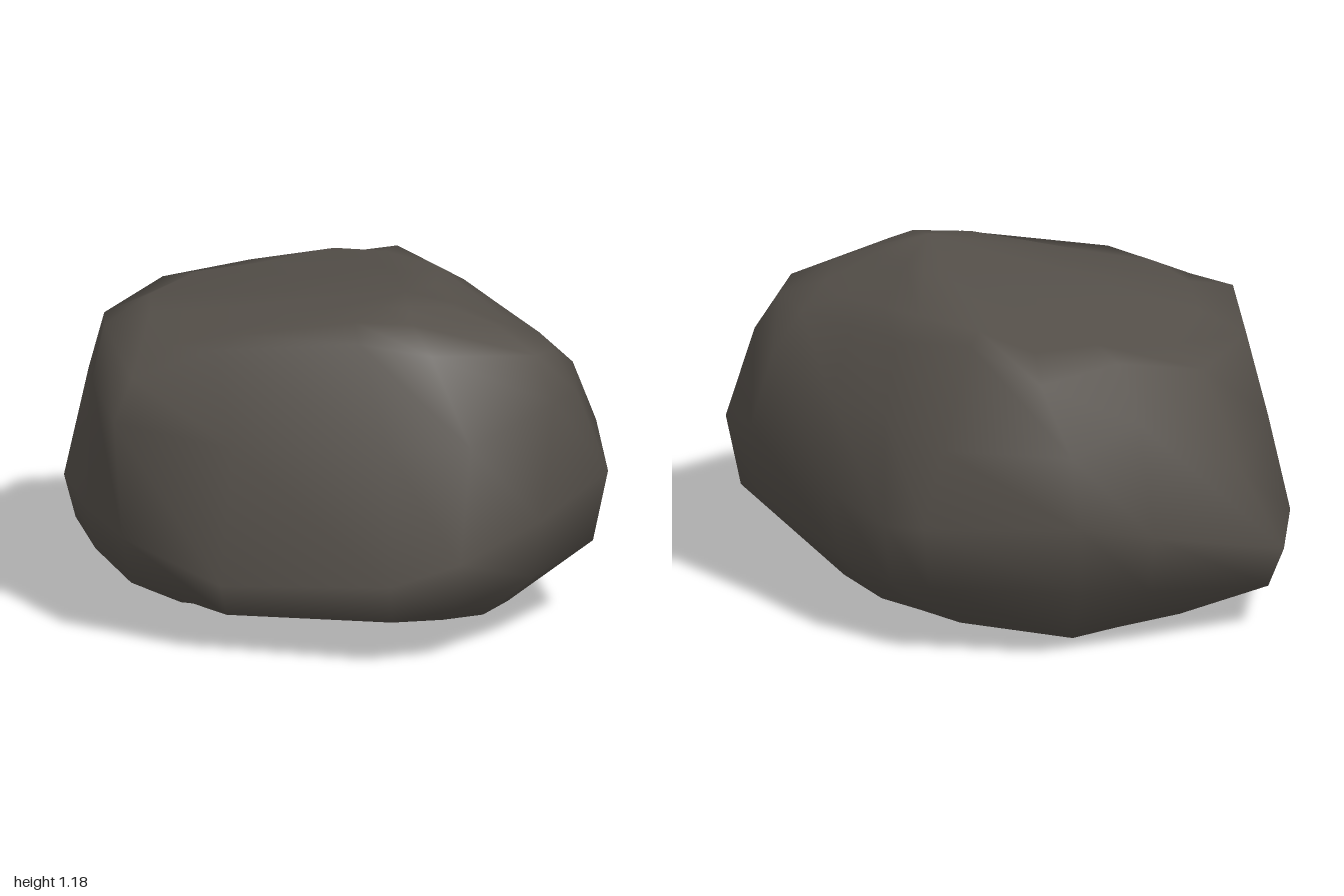
import * as THREE from 'three';

// Rings of 15 points, each running from +x through +z, -x and -z
const wide = [
  [1, 0.54, 0.05], [0.86, 0.45, 0.38], [0.67, 0.38, 0.72], [0.46, 0.32, 0.85], [-0.15, 0.27, 0.86],
  [-0.52, 0.39, 0.8], [-0.78, 0.34, 0.36], [-0.97, 0.32, 0], [-1, 0.31, -0.36], [-0.6, 0.45, -0.69],
  [-0.36, 0.53, -0.86], [0.18, 0.5, -0.85], [0.33, 0.47, -0.76], [0.55, 0.5, -0.53], [0.87, 0.62, -0.24],
];
const upper = [
  [0.91, 0.84, 0.12], [0.88, 0.85, 0.29], [0.66, 0.75, 0.56], [0.4, 0.75, 0.68], [-0.15, 0.72, 0.71],
  [-0.58, 0.77, 0.7], [-0.76, 0.8, 0.36], [-0.905, 0.69, -0.08], [-0.87, 0.62, -0.46], [-0.54, 0.85, -0.65],
  [-0.33, 0.78, -0.83], [0.13, 0.75, -0.74], [0.36, 0.8, -0.55], [0.57, 0.8, -0.4], [0.81, 0.85, -0.16],
];
const rim = [
  [0.82, 0.98, 0.1], [0.8, 1, 0.24], [0.5, 1.05, 0.5], [0.25, 1.08, 0.53], [-0.25, 1.03, 0.59],
  [-0.53, 0.92, 0.65], [-0.72, 1, 0.35], [-0.81, 0.94, 0.05], [-0.72, 0.95, -0.35], [-0.44, 1, -0.47],
  [-0.2, 0.98, -0.67], [0.06, 1.07, -0.56], [0.34, 1.02, -0.42], [0.52, 1, -0.25], [0.72, 0.98, -0.06],
];
// x, z of the underside edge
const base = [
  [0.66, 0.12], [0.62, 0.28], [0.5, 0.36], [0.34, 0.38], [-0.15, 0.37],
  [-0.45, 0.33], [-0.62, 0.2], [-0.69, 0], [-0.62, -0.24], [-0.43, -0.44],
  [-0.3, -0.6], [0.1, -0.54], [0.25, -0.44], [0.4, -0.35], [0.56, -0.15],
];
const apex = new THREE.Vector3(0.32, 1.18, 0.22);

// Gently tilted top, falling away from the apex and cut by a steeper slope at the back left
const topY = (x, z) => Math.min(
  apex.y
    - 0.15 * Math.max(0, apex.x - x) - 0.26 * Math.max(0, x - apex.x)
    - 0.08 * Math.max(0, apex.z - z) - 0.2 * Math.max(0, z - apex.z),
  1.284 - 0.398 * x + 0.262 * z,
);

function boulderGeometry() {
  const n = wide.length;
  const rings = [[], [], [], [], [], [], []];
  for (let i = 0; i < n; i++) {
    const [bx, bz] = base[i];
    const footY = Math.max(0, 0.03 + 0.04 * bx) + 0.05 * Math.max(0, -bz - 0.3);
    const foot = new THREE.Vector3(bx, footY, bz);
    const girth = new THREE.Vector3(...wide[i]);
    const edge = new THREE.Vector3(...rim[i]);
    const low = foot.clone().lerp(girth, 0.85).setY(girth.y * 0.53);
    const shoulder = edge.clone().multiplyScalar(0.8);
    shoulder.y = topY(shoulder.x, shoulder.z);
    const crown = shoulder.clone().lerp(apex, 0.5);
    crown.y = topY(crown.x, crown.z);
    [foot, low, girth, new THREE.Vector3(...upper[i]), edge, shoulder, crown]
      .forEach((p, k) => rings[k].push(p));
  }
  const points = [...rings.flat(), new THREE.Vector3(0, 0.02, -0.05), apex];
  const bottom = rings.length * n;
  const last = bottom - n;
  const index = [];
  for (let i = 0; i < n; i++) {
    const j = (i + 1) % n;
    index.push(bottom, i, j);
    for (let k = 0; k < last; k += n) {
      const a = k + i, b = k + j;
      index.push(a, a + n, b + n, a, b + n, b);
    }
    index.push(last + i, bottom + 1, last + j);
  }
  const geometry = new THREE.BufferGeometry().setFromPoints(points);
  geometry.setIndex(index);
  geometry.computeVertexNormals();
  return geometry;
}

export function createModel() {
  const stone = new THREE.MeshStandardMaterial({ color: 0x544f49 });
  stone.name = 'dark stone';
  const boulder = new THREE.Mesh(boulderGeometry(), stone);
  boulder.name = 'boulder';
  const group = new THREE.Group();
  group.name = 'rock';
  group.add(boulder);
  return group;
}
